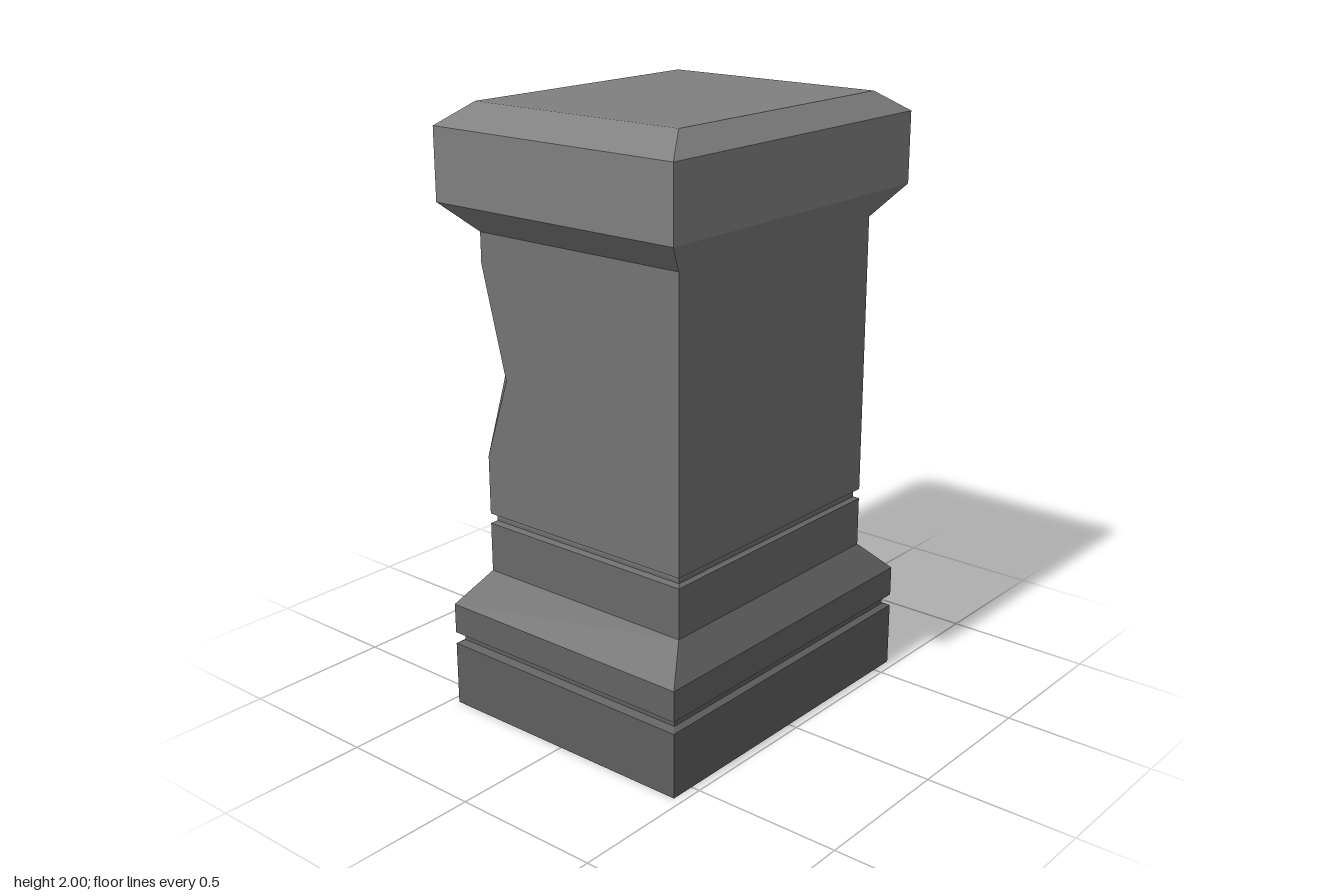
import * as THREE from 'three';

const CAP_CORNER = 1;   // +x, -z corner
const SHAFT_CORNER = 2; // -x, -z corner

// Rectangular outline at one height; one corner may be cut off by `cut`.
function ring([y, hx, hz, cut = 0], cutCorner) {
  const points = [];
  [[1, 1], [1, -1], [-1, -1], [-1, 1]].forEach(([sx, sz], i) => {
    const c = i === cutCorner ? cut : 0;
    const pair = [
      new THREE.Vector3(sx * (hx - c), y, sz * hz),
      new THREE.Vector3(sx * hx, y, sz * (hz - c)),
    ];
    if (sx !== sz) pair.reverse();
    points.push(...pair);
  });
  return points;
}

// Joins successive outlines with walls, optionally closing the top.
function loft(name, color, levels, cutCorner = -1, closeTop = false) {
  const rings = levels.map((level) => ring(level, cutCorner));
  const positions = [];
  const tri = (a, b, c) => {
    if (a.equals(b) || b.equals(c) || c.equals(a)) return;
    for (const p of [a, b, c]) positions.push(p.x, p.y, p.z);
  };
  for (let k = 0; k < rings.length - 1; k++) {
    const low = rings[k], high = rings[k + 1];
    for (let i = 0; i < 8; i++) {
      const j = (i + 1) % 8;
      tri(low[i], low[j], high[j]);
      tri(low[i], high[j], high[i]);
    }
  }
  if (closeTop) {
    const top = rings[rings.length - 1];
    for (let i = 1; i < 7; i++) tri(top[0], top[i], top[i + 1]);
  }
  const geometry = new THREE.BufferGeometry();
  geometry.setAttribute('position', new THREE.Float32BufferAttribute(positions, 3));
  geometry.computeVertexNormals();
  const material = new THREE.MeshStandardMaterial({
    color, flatShading: true, side: THREE.DoubleSide,
  });
  const mesh = new THREE.Mesh(geometry, material);
  mesh.name = name;
  return mesh;
}

export function createModel() {
  const group = new THREE.Group();
  group.name = 'pedestal';

  // Levels are [height, half width, half depth, corner cut].
  // The stone is darkest at the foot and lightens towards the cap.
  // Hollow plinth, open underneath, up to the middle of its groove
  group.add(loft('plinth', 0x5e5e5e, [
    [0, 0.584, 0.47],
    [0.218, 0.584, 0.47],
    [0.228, 0.56, 0.452],
    [0.238, 0.56, 0.452],
  ]));

  // Moulding above the groove with a sloped shoulder
  group.add(loft('plinthMoulding', 0x636363, [
    [0.238, 0.56, 0.452],
    [0.248, 0.56, 0.452],
    [0.258, 0.584, 0.47],
    [0.36, 0.584, 0.47],
    [0.465, 0.475, 0.398],
  ]));

  // Short band below the thin groove
  group.add(loft('shaftBand', 0x696969, [
    [0.465, 0.475, 0.398],
    [0.632, 0.475, 0.398],
    [0.64, 0.459, 0.385],
    [0.649, 0.459, 0.385],
  ]));

  // Main shaft with one chipped back edge
  group.add(loft('shaft', 0x737373, [
    [0.649, 0.459, 0.385],
    [0.658, 0.459, 0.385],
    [0.666, 0.475, 0.398],
    [0.865, 0.475, 0.398],
    [1.135, 0.475, 0.398, 0.093],
    [1.5, 0.475, 0.398],
    [1.6, 0.475, 0.398],
  ], SHAFT_CORNER));

  // Bevelled cap with the opposite back corner chipped above and below
  group.add(loft('cap', 0x7f7f7f, [
    [1.6, 0.475, 0.398],
    [1.667, 0.548, 0.446],
    [1.7, 0.584, 0.47, 0.055],
    [1.84, 0.584, 0.47],
    [1.875, 0.584, 0.47],
    [1.932, 0.584, 0.47, 0.055],
    [1.957, 0.544, 0.4435],
    [2, 0.475, 0.398],
  ], CAP_CORNER, true));

  return group;
}
